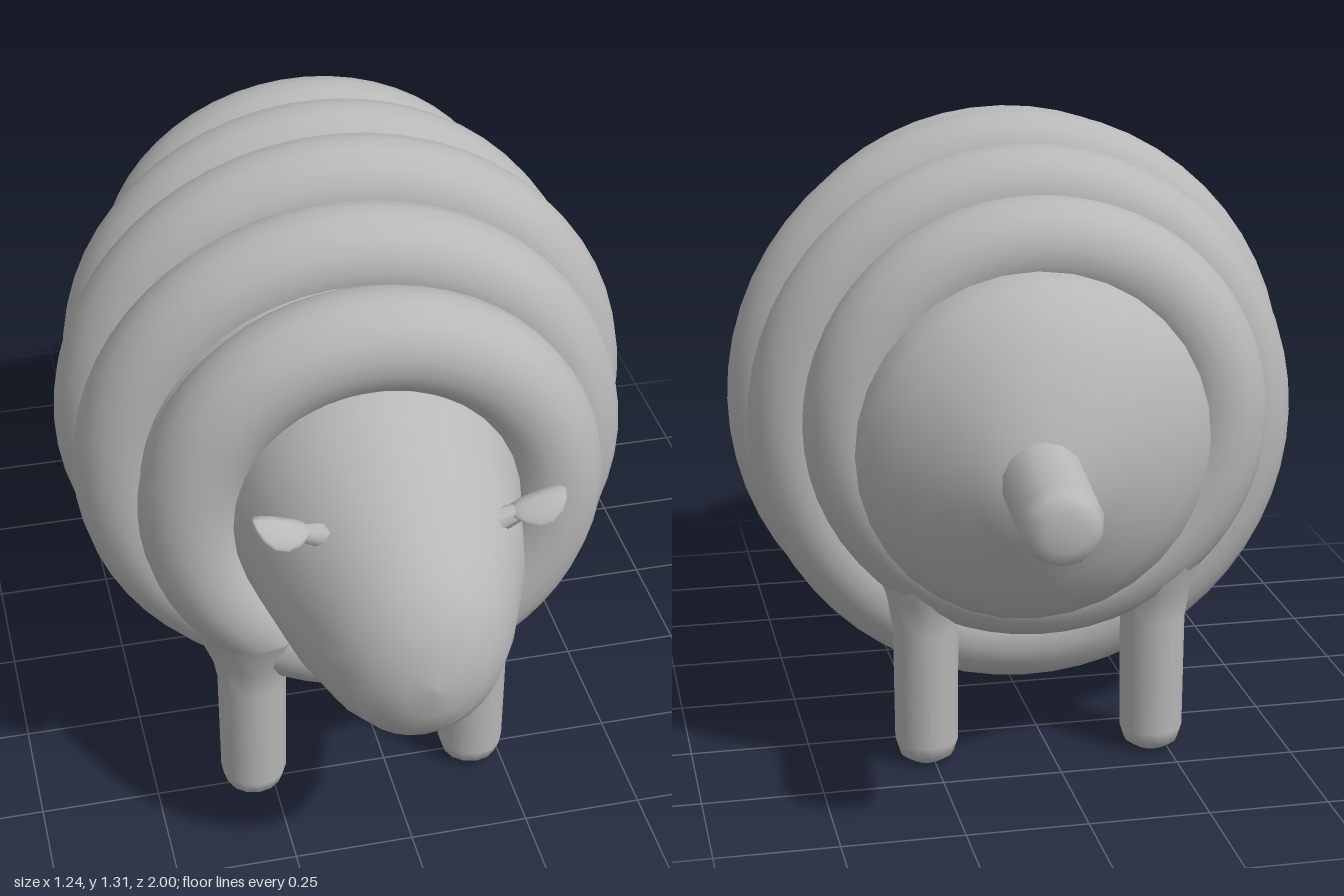
import * as THREE from 'three';

const wool = new THREE.MeshStandardMaterial({ color: 0xb8b8b8 });
wool.name = 'plain grey';

// Smooth skin over elliptical sections [z, centreX, top, bottom, halfWidth], back to front
function loft(sections, sides = 32) {
  const pos = [], index = [];
  for (const [z, cx, top, bottom, w] of sections) {
    for (let j = 0; j < sides; j++) {
      const a = (j / sides) * Math.PI * 2;
      pos.push(cx + w * Math.cos(a), (top + bottom) / 2 + ((top - bottom) / 2) * Math.sin(a), z);
    }
  }
  for (let i = 0; i < sections.length - 1; i++) {
    for (let j = 0; j < sides; j++) {
      const k = (j + 1) % sides;
      const a = i * sides + j, b = i * sides + k, c = b + sides, d = a + sides;
      index.push(a, b, d, b, c, d);
    }
  }
  const g = new THREE.BufferGeometry();
  g.setAttribute('position', new THREE.Float32BufferAttribute(pos, 3));
  g.setIndex(index);
  g.computeVertexNormals();
  return g;
}

const lathe = (points, sides) =>
  new THREE.LatheGeometry(points.map(([r, y]) => new THREE.Vector2(r, y)), sides);

export function createModel() {
  const model = new THREE.Group();
  model.name = 'sheep';
  const add = (name, geometry, parent = model) => {
    const mesh = new THREE.Mesh(geometry, wool);
    mesh.name = name;
    parent.add(mesh);
    return mesh;
  };

  // Wool rolls: centre x, y, z, outer half width, outer half height
  const tube = 0.107, yaw = -0.06;
  const rolls = [
    [-0.035, 0.745, 0.505, 0.475, 0.475],
    [-0.03, 0.70, 0.28, 0.58, 0.58],
    [0, 0.685, 0.06, 0.62, 0.625],
    [0.015, 0.685, -0.16, 0.585, 0.588],
    [0.03, 0.745, -0.385, 0.48, 0.465],
  ];
  rolls.forEach(([x, y, z, w, h], i) => {
    const roll = add('woolRoll' + (i + 1), new THREE.TorusGeometry(w - tube, tube, 18, 56));
    roll.position.set(x, y, z);
    roll.scale.y = (h - 0.0) / w;
    roll.rotation.y = yaw;
  });

  // Trunk filling the grooves between the rolls
  const trunk = rolls.map(([x, y, z, w, h]) => [z, x, y + h - 0.09, y - h + 0.09, w - 0.09]).reverse();
  add('trunk', loft(trunk, 48));

  // Egg-shaped head, narrowing to the snout
  add('head', loft([
    [0.42, -0.035, 1.08, 0.42, 0.31],
    [0.54, -0.035, 1.065, 0.425, 0.30],
    [0.63, -0.035, 1.035, 0.425, 0.28],
    [0.76, -0.03, 0.96, 0.42, 0.245],
    [0.87, -0.03, 0.89, 0.435, 0.195],
    [0.93, -0.03, 0.835, 0.465, 0.157],
    [0.97, -0.03, 0.78, 0.51, 0.112],
    [0.992, -0.03, 0.71, 0.565, 0.06],
    [1.0, -0.03, 0.635, 0.635, 0],
  ]));

  // Domed rump
  add('rump', loft([
    [-0.72, 0.08, 0.70, 0.70, 0],
    [-0.705, 0.08, 0.78, 0.62, 0.075],
    [-0.675, 0.07, 0.88, 0.56, 0.15],
    [-0.63, 0.06, 0.97, 0.48, 0.225],
    [-0.58, 0.055, 1.03, 0.41, 0.295],
    [-0.53, 0.05, 1.065, 0.37, 0.345],
    [-0.48, 0.05, 1.08, 0.345, 0.37],
    [-0.38, 0.04, 1.08, 0.345, 0.37],
  ]));

  // Stubby tail, pointing back
  const tail = add('tail', lathe(
    [[0, 0.36], [0.04, 0.36], [0.068, 0.345], [0.08, 0.31], [0.083, 0.05], [0.11, 0.01], [0.16, -0.04]].reverse(), 14));
  tail.position.set(0.08, 0.71, -0.64);
  tail.rotation.set(-Math.PI / 2, 0, -0.08);

  // Legs, flaring where they join the body
  const legProfile = [[0, 0.005], [0.035, 0.005], [0.06, 0.02], [0.07, 0.05], [0.072, 0.3], [0.085, 0.37], [0.12, 0.46]];
  const legs = [
    ['frontRightLeg', -0.29, 0.5, 1], ['frontLeftLeg', 0.19, 0.51, 1],
    ['backRightLeg', -0.22, -0.39, 0.95], ['backLeftLeg', 0.262, -0.365, 0.95],
  ];
  for (const [name, x, z, s] of legs) {
    const leg = add(name, lathe(legProfile, 14));
    leg.position.set(x, 0, z);
    leg.scale.set(s, 1, s);
  }

  // Small arched ears on short stalks
  const ears = [['rightEar', -0.20, 0.875, 0.765, -1], ['leftEar', 0.155, 0.85, 0.765, 1]];
  for (const [name, x, y, z, side] of ears) {
    const ear = new THREE.Group();
    ear.name = name;
    const leaf = new THREE.SphereGeometry(1, 14, 10).scale(0.06, 0.011, 0.046);
    const p = leaf.attributes.position;
    for (let i = 0; i < p.count; i++) p.setY(i, p.getY(i) - 14 * p.getZ(i) ** 2);
    leaf.computeVertexNormals();
    add('earLeaf', leaf, ear).position.x = side * 0.078;
    const stalk = add('earStalk', new THREE.CylinderGeometry(0.012, 0.03, 0.1, 8), ear);
    stalk.rotation.z = -side * Math.PI / 2;
    stalk.position.set(side * 0.02, -0.012, 0);
    ear.position.set(x, y, z);
    ear.rotation.z = side * 0.3;
    model.add(ear);
  }
  return model;
}
